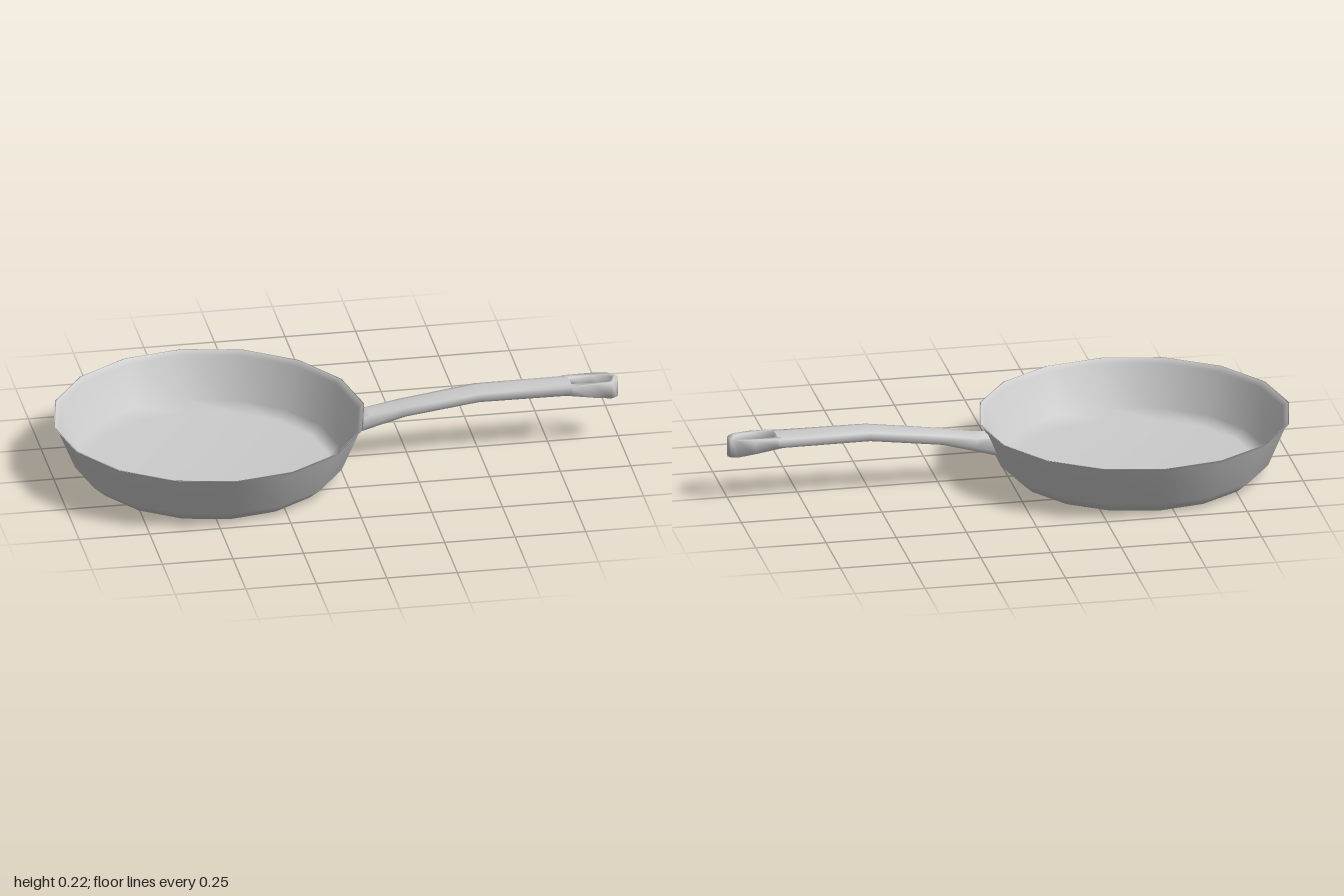
import * as THREE from 'three';
import { toCreasedNormals, mergeVertices } from 'three/addons/utils/BufferGeometryUtils.js';

const material = new THREE.MeshStandardMaterial({ color: 0xcccccc });

function addMesh(group, name, geometry) {
  const mesh = new THREE.Mesh(geometry, material);
  mesh.name = name;
  group.add(mesh);
  return mesh;
}

// Skin between rings that all have the same number of points, with closed ends
function loft(rings) {
  const n = rings[0].length;
  const index = [];
  for (let r = 0; r < rings.length - 1; r++) {
    for (let i = 0; i < n; i++) {
      const a = r * n + i, b = r * n + (i + 1) % n;
      index.push(a, b, a + n, b, b + n, a + n);
    }
  }
  const last = (rings.length - 1) * n;
  for (let i = 1; i < n - 1; i++) {
    index.push(0, i + 1, i, last, last + i, last + i + 1);
  }
  const geometry = new THREE.BufferGeometry();
  geometry.setAttribute('position', new THREE.Float32BufferAttribute(rings.flat(2), 3));
  geometry.setIndex(index);
  return geometry;
}

// Low-poly bowl: outside from the base up, over the thin rim, then down the inside
function panBody() {
  const profile = [
    [0, 0], [0.43, 0], [0.475, 0.04], [0.535, 0.184], [0.55, 0.2],
    [0.545, 0.2], [0.529, 0.184], [0.463, 0.045], [0.425, 0.014], [0, 0.014],
  ].map(([r, y]) => new THREE.Vector2(r, y));
  return new THREE.LatheGeometry(profile, 16);
}

// Curved handle with a softly rounded, nearly rectangular section
function handleGrip() {
  // bottom x, bottom y, top x, top y, half width
  const stations = [
    [0.045, 0.095, 0.075, 0.17, 0.038],
    [0.13, 0.12, 0.115, 0.172, 0.038],
    [0.24, 0.152, 0.23, 0.19, 0.041],
    [0.5, 0.188, 0.5, 0.225, 0.046],
    [0.828, 0.188, 0.828, 0.225, 0.05],
  ];
  // across the width, and up from bottom to top
  const section = [
    [-0.9, 0], [-1, 0.25], [-1, 0.88], [-0.5, 1],
    [0.5, 1], [1, 0.88], [1, 0.25], [0.9, 0],
  ];
  const rings = stations.map(([bx, by, tx, ty, w]) => section.map(([s, t]) => [
    bx + (tx - bx) * t, by + (ty - by) * t, s * w,
  ]));
  return toCreasedNormals(loft(rings), 1.5);
}

// Hanging loop: a ring around the hole whose underside deepens towards the tip
function handleLoop() {
  const mirror = (half) => [...half, ...half.slice().reverse().map(([x, z]) => [x, -z])]
    .map(([x, z]) => new THREE.Vector2(x, z));
  const shape = new THREE.Shape(mirror([
    [0.81, -0.049], [0.91, -0.051], [0.97, -0.041], [0.992, -0.022], [1, -0.008],
  ]));
  shape.holes.push(new THREE.Path(mirror([
    [0.83, -0.027], [0.91, -0.032], [0.96, -0.023], [0.978, -0.008],
  ])));
  const geometry = new THREE.ExtrudeGeometry(shape, { depth: 1, bevelEnabled: false });
  geometry.rotateX(-Math.PI / 2);
  const p = geometry.attributes.position;
  for (let i = 0; i < p.count; i++) {
    const t = THREE.MathUtils.clamp((p.getX(i) - 0.83) / 0.17, 0, 1);
    const bottom = 0.19 - 0.033 * t;
    p.setY(i, p.getY(i) > 0.5 ? 0.224 : bottom);
  }
  geometry.deleteAttribute('uv');
  geometry.deleteAttribute('normal');
  return toCreasedNormals(mergeVertices(geometry), 1.8);
}

export function createModel() {
  const group = new THREE.Group();
  group.name = 'fryingPan';

  const body = addMesh(group, 'panBody', panBody());
  body.position.x = -0.45;

  const handle = new THREE.Group();
  handle.name = 'handle';
  handle.position.z = -0.005;
  addMesh(handle, 'handleGrip', handleGrip());
  addMesh(handle, 'handleLoop', handleLoop());
  group.add(handle);

  return group;
}
